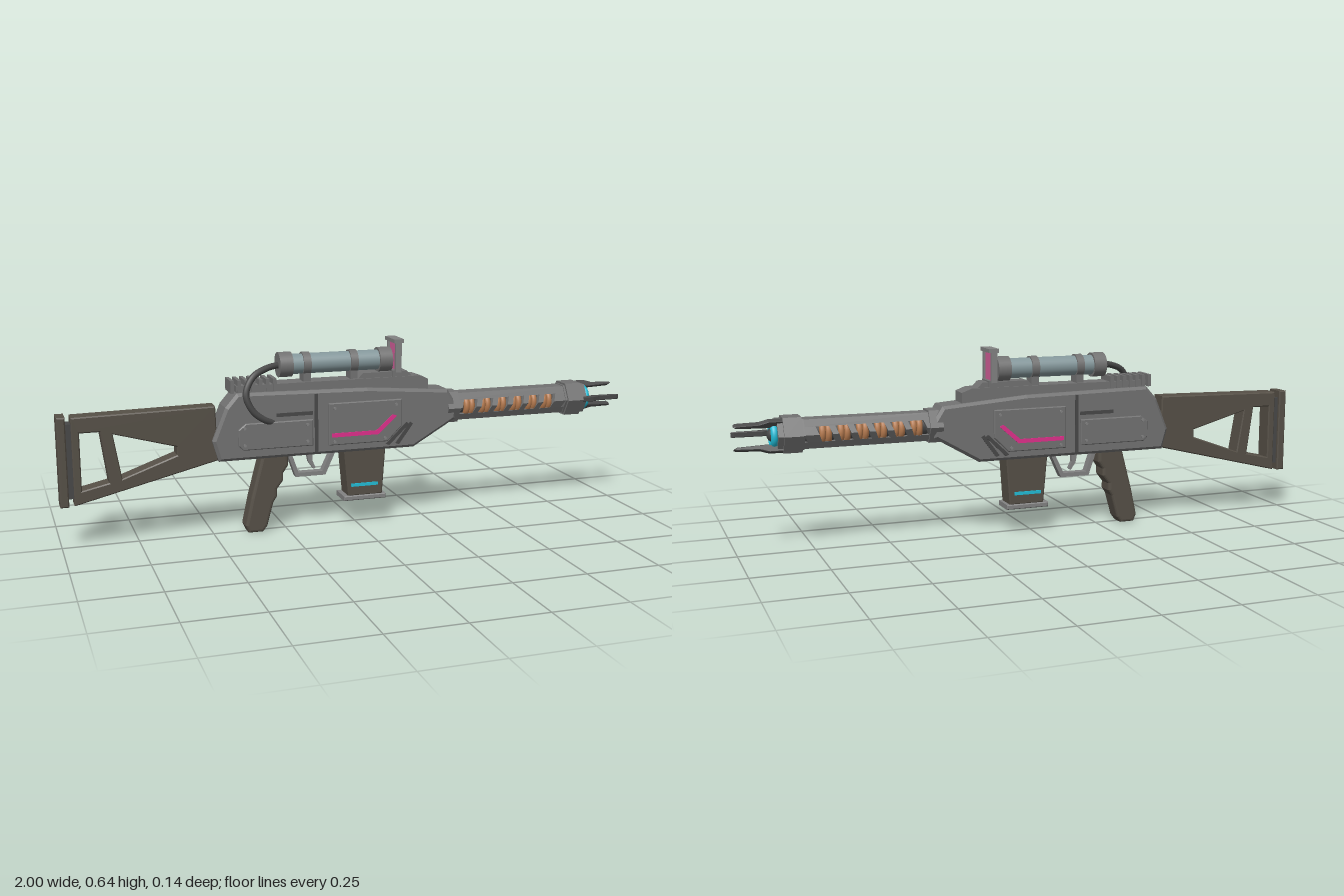
import * as THREE from 'three';

const mat = (name, color) => Object.assign(new THREE.MeshStandardMaterial({ color }), { name });

export function createModel() {
  const root = new THREE.Group();
  const M = {
    body: mat('gunmetal grey', 0x727272),
    light: mat('light grey', 0x828282),
    dark: mat('dark grey', 0x484848),
    grip: mat('warm dark grey', 0x565047),
    tube: mat('blue grey', 0x84979b),
    cyan: mat('cyan', 0x22bcd6),
    pink: mat('pink', 0xe0308c),
    glass: mat('pink glass', 0xd4609a),
    coil: mat('copper', 0xb87c50),
  };
  const CY = 0.388; // barrel axis height

  const add = (name, geo, m, x = 0, y = 0, z = 0) => {
    const mesh = new THREE.Mesh(geo, m);
    mesh.name = name;
    mesh.position.set(x, y, z);
    root.add(mesh);
    return mesh;
  };
  // box given by its limits in x, y and z
  const box = (name, m, x0, x1, y0, y1, z0, z1) =>
    add(name, new THREE.BoxGeometry(x1 - x0, y1 - y0, z1 - z0), m, (x0 + x1) / 2, (y0 + y1) / 2, (z0 + z1) / 2);
  // side outline extruded symmetrically in z, bevel kept inside the outline
  const slab = (pts, half, bevel = 0, holes = [], segs = 1) => {
    const v = (p) => p.map(([x, y]) => new THREE.Vector2(x, y));
    const shape = new THREE.Shape(v(pts));
    holes.forEach((h) => shape.holes.push(new THREE.Path(v(h))));
    const depth = 2 * (half - bevel);
    return new THREE.ExtrudeGeometry(shape, {
      depth, bevelEnabled: bevel > 0, bevelThickness: bevel, bevelSize: bevel, bevelOffset: -bevel, bevelSegments: segs,
    }).translate(0, 0, -depth / 2);
  };
  // cross-section (z, y) extruded along x from 0 to len
  const prism = (pts, len) => new THREE.ExtrudeGeometry(
    new THREE.Shape(pts.map(([z, y]) => new THREE.Vector2(z, y))), { depth: len, bevelEnabled: false }).rotateY(Math.PI / 2);
  const rod = (name, m, x0, x1, y, r, sides = 32, r2 = r) =>
    add(name, new THREE.CylinderGeometry(r2, r, x1 - x0, sides).rotateZ(-Math.PI / 2), m, (x0 + x1) / 2, y);
  const hex = (r) => Array.from({ length: 6 }, (_, i) => [r * Math.cos(i * Math.PI / 3), r * Math.sin(i * Math.PI / 3)]);

  // receiver
  add('receiver', slab([[-0.485, 0.26], [0.2, 0.26], [0.355, 0.35], [0.36, 0.4], [0.325, 0.455], [0.03, 0.478],
    [-0.42, 0.486], [-0.46, 0.44], [-0.505, 0.33]], 0.053, 0.01), M.body);
  add('noseCollar', prism(hex(0.062), 0.045), M.body, 0.325, CY);

  // side panels, trim and bolts on both sides
  for (const s of [1, -1]) {
    const plate = (name, pts, m, z, half = 0.004, bevel = 0) => add(name, slab(pts, half, bevel), m, 0, 0, s * z);
    plate('rearPanel', [[-0.405, 0.295], [-0.165, 0.295], [-0.165, 0.385], [-0.395, 0.385], [-0.42, 0.365], [-0.42, 0.31]], M.body, 0.055, 0.006, 0.003);
    plate('frontPanel', [[-0.11, 0.29], [0.1, 0.29], [0.15, 0.34], [0.15, 0.435], [-0.11, 0.435]], M.body, 0.055, 0.006, 0.003);
    plate('glowStripe', [[-0.1, 0.318], [0.065, 0.318], [0.132, 0.378], [0.118, 0.384], [0.058, 0.332], [-0.1, 0.332]], M.pink, 0.0605, 0.003);
    plate('panelSeam', [[-0.158, 0.27], [-0.146, 0.27], [-0.146, 0.47], [-0.158, 0.47]], M.dark, 0.0515, 0.003);
    plate('upperSlot', [[-0.29, 0.4], [-0.165, 0.4], [-0.165, 0.412], [-0.29, 0.412]], M.dark, 0.053, 0.003);
    for (const d of [0, 0.035]) {
      plate('diagonalVent', [[0.095 + d, 0.28], [0.108 + d, 0.275], [0.18 + d * 0.4, 0.345], [0.17 + d * 0.4, 0.352]], M.dark, 0.053, 0.003);
    }
    for (const [x, y] of [[-0.4, 0.37], [-0.4, 0.312], [-0.185, 0.37], [-0.185, 0.312], [-0.09, 0.418], [0.13, 0.418], [-0.09, 0.303], [0.09, 0.303]]) {
      add('bolt', new THREE.CylinderGeometry(0.005, 0.005, 0.008, 10).rotateX(Math.PI / 2), M.light, x, y, s * 0.062);
    }
    box('magazineStripe', M.cyan, -0.025, 0.072, 0.134, 0.145, s * 0.041 - 0.0025, s * 0.041 + 0.0025);
  }

  // top rail and cooling fins
  add('rail', slab([[-0.42, 0.47], [0.255, 0.455], [0.255, 0.495], [0.22, 0.508], [-0.42, 0.508]], 0.036), M.body);
  add('sightBase', slab([[0, 0.505], [0.2, 0.505], [0.18, 0.526], [0.02, 0.526]], 0.03), M.body);
  for (let i = 0; i < 7; i++) {
    const x = -0.44 + i * 0.024;
    box('coolingFin', M.body, x, x + 0.012, 0.485, 0.527, -0.041, 0.041);
  }

  // scope
  const SY = 0.566;
  rod('scopeTube', M.tube, -0.23, 0.09, SY, 0.034);
  rod('scopeRearCap', M.body, -0.27, -0.225, SY, 0.042);
  rod('scopeFrontCap', M.body, 0.08, 0.125, SY, 0.042);
  for (const x of [-0.175, -0.01]) {
    rod('scopeRing', M.body, x - 0.013, x + 0.013, SY, 0.039);
    box('scopeMount', M.body, x - 0.013, x + 0.013, 0.5, 0.54, -0.025, 0.025);
  }

  // holographic sight frame
  for (const s of [1, -1]) box('sightPost', M.light, 0.133, 0.154, 0.524, 0.626, s * 0.04 - 0.006, s * 0.04 + 0.006);
  box('sightTop', M.light, 0.127, 0.162, 0.625, 0.638, -0.046, 0.046);
  box('sightFoot', M.body, 0.125, 0.16, 0.505, 0.53, -0.034, 0.034);
  box('sightGlass', M.glass, 0.14, 0.148, 0.527, 0.626, -0.035, 0.035);

  // cable from the scope into the receiver
  const path = new THREE.CatmullRomCurve3([[-0.26, 0.566, 0], [-0.31, 0.56, 0.018], [-0.365, 0.535, 0.04],
    [-0.392, 0.48, 0.054], [-0.37, 0.425, 0.06], [-0.33, 0.393, 0.058], [-0.3, 0.38, 0.048]].map((p) => new THREE.Vector3(...p)));
  add('cable', new THREE.TubeGeometry(path, 40, 0.011, 12), M.dark);

  // slotted handguard around copper coils
  for (const s of [1, -1]) {
    const half = [[0.0406, 0.025], [0.0275, 0.0476], [-0.0275, 0.0476], [-0.0406, 0.025]];
    const pts = s > 0 ? half : half.map(([z, y]) => [z, -y]);
    add('handguardShell', prism(pts, 0.46), M.body, 0.33, CY);
  }
  const band = [[0.055, 0], [0.0406, 0.025], [-0.0406, 0.025], [-0.055, 0], [-0.0406, -0.025], [0.0406, -0.025]];
  const post = (x0, len) => {
    const g = prism(band, len), p = g.attributes.position;
    for (let i = 0; i < p.count; i++) p.setX(i, p.getX(i) + p.getY(i) * 0.4);
    g.computeVertexNormals();
    add('handguardRib', g, M.body, x0, CY);
  };
  post(0.345, 0.035);
  post(0.735, 0.045);
  for (let i = 0; i < 6; i++) {
    if (i) post(0.372 + i * 0.06, 0.02);
    for (const d of [0, 0.02]) {
      add('coil', new THREE.TorusGeometry(0.0365, 0.0105, 12, 32).rotateY(Math.PI / 2), M.coil, 0.402 + i * 0.06 + d, CY);
    }
  }
  rod('barrelCore', M.dark, 0.35, 0.78, CY, 0.032, 24);

  // muzzle
  add('muzzleCollar', prism(hex(0.066), 0.06), M.body, 0.787, CY);
  add('muzzleLip', prism(hex(0.058), 0.085), M.body, 0.78, CY);
  add('muzzleRing', new THREE.TorusGeometry(0.033, 0.012, 16, 40).rotateY(Math.PI / 2), M.cyan, 0.873, CY);
  add('emitter', new THREE.SphereGeometry(0.024, 24, 16), M.dark, 0.87, CY);
  for (let i = 0; i < 3; i++) {
    const prong = new THREE.Group();
    prong.name = 'prong';
    prong.position.y = CY;
    prong.rotation.x = i * 2 * Math.PI / 3;
    // outline in x and radius, laid towards +z
    const g = slab([[0.83, 0.042], [0.9, 0.034], [0.99, 0.038], [1, 0.044], [0.99, 0.048], [0.92, 0.05], [0.89, 0.06], [0.83, 0.06]], 0.009, 0.002);
    const mesh = new THREE.Mesh(g.rotateX(Math.PI / 2), M.dark);
    mesh.name = 'prongBlade';
    prong.add(mesh);
    root.add(prong);
  }

  // skeleton stock
  add('stock', slab([[-0.955, 0.147], [-0.485, 0.262], [-0.49, 0.445], [-0.955, 0.437]], 0.033, 0.004, [
    [[-0.93, 0.195], [-0.93, 0.385], [-0.865, 0.385], [-0.842, 0.215]],
    [[-0.8, 0.225], [-0.825, 0.375], [-0.62, 0.318], [-0.62, 0.29]],
  ]), M.grip);
  box('buttSpacer', M.dark, -0.975, -0.95, 0.17, 0.415, -0.024, 0.024);
  add('buttPlate', slab([[-1, 0.145], [-0.972, 0.145], [-0.972, 0.44], [-1, 0.44]], 0.036, 0.004), M.grip);

  // pistol grip
  add('pistolGrip', slab([[-0.335, 0.27], [-0.375, 0.12], [-0.396, 0.025], [-0.385, 0], [-0.335, 0], [-0.32, 0.02], [-0.298, 0.1],
    [-0.285, 0.12], [-0.285, 0.145], [-0.262, 0.175], [-0.262, 0.2], [-0.245, 0.225], [-0.245, 0.27]], 0.034, 0.01, [], 3), M.grip);

  // trigger and guard
  add('triggerGuard', slab([[-0.245, 0.265], [-0.215, 0.178], [-0.11, 0.178], [-0.07, 0.265], [-0.085, 0.265], [-0.12, 0.192],
    [-0.205, 0.192], [-0.23, 0.265]], 0.015), M.light);
  add('trigger', slab([[-0.175, 0.262], [-0.168, 0.225], [-0.15, 0.2], [-0.143, 0.205], [-0.154, 0.23], [-0.152, 0.262]], 0.008), M.light);

  // magazine
  add('magazine', slab([[-0.05, 0.265], [-0.035, 0.1], [0.088, 0.1], [0.1, 0.265]], 0.04, 0.004), M.grip);
  add('magazineBase', slab([[-0.052, 0.085], [0.1, 0.085], [0.1, 0.102], [-0.052, 0.102]], 0.044, 0.003), M.light);

  return root;
}
